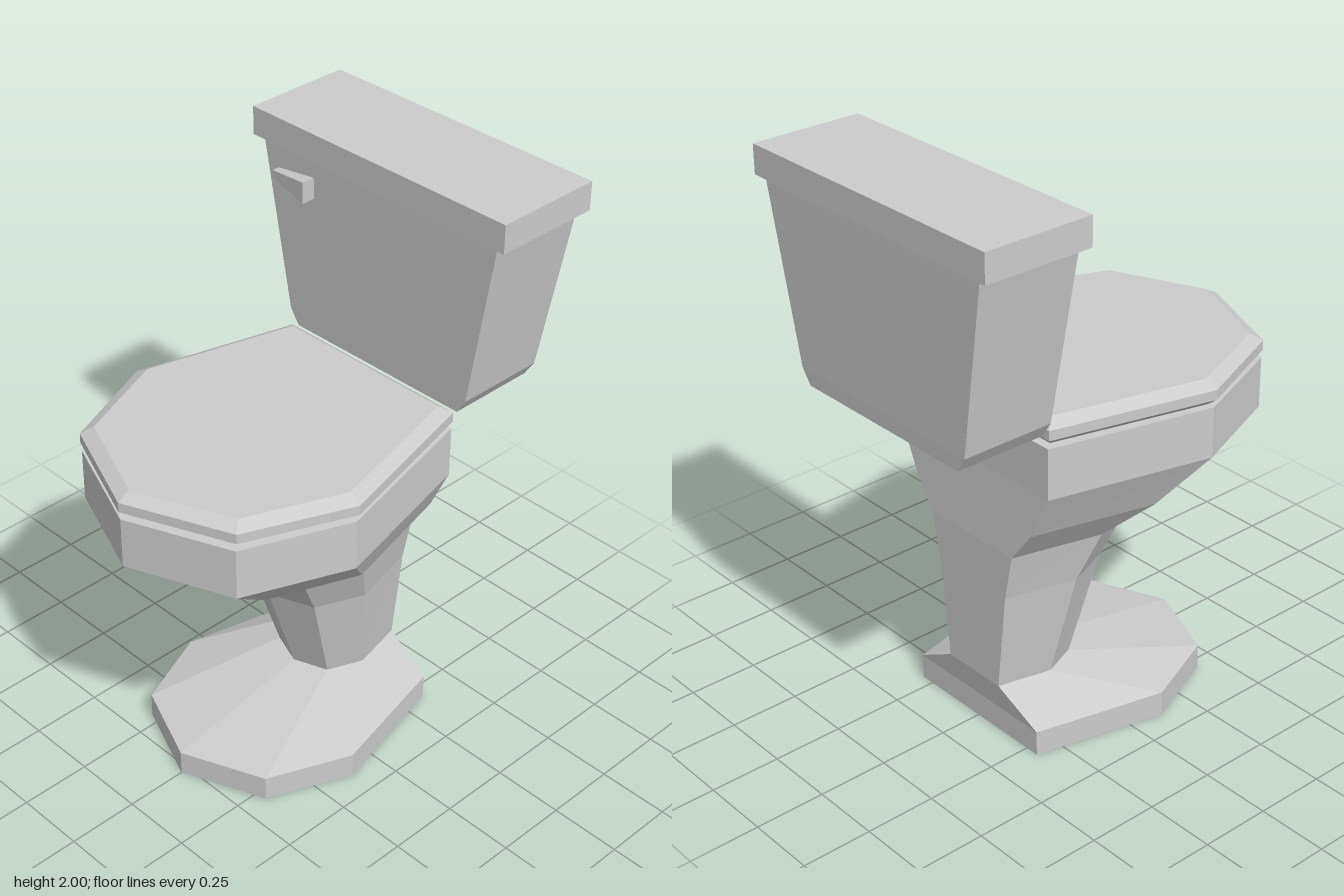
import * as THREE from 'three';

const material = new THREE.MeshStandardMaterial({ color: 0xcccccc, flatShading: true });

// Joins equal-length rings of [x, y, z] from bottom to top and caps both ends.
function loft(name, rings) {
  const n = rings[0].length;
  const index = [];
  for (let r = 0; r < rings.length - 1; r++) {
    for (let i = 0; i < n; i++) {
      const a = r * n + i, b = r * n + (i + 1) % n;
      index.push(a, b, b + n, a, b + n, a + n);
    }
  }
  const top = (rings.length - 1) * n;
  for (let i = 1; i < n - 1; i++) {
    index.push(0, i + 1, i);
    index.push(top, top + i, top + i + 1);
  }
  const indexed = new THREE.BufferGeometry();
  indexed.setAttribute('position', new THREE.Float32BufferAttribute(rings.flat(2), 3));
  indexed.setIndex(index);
  const geometry = indexed.toNonIndexed();
  geometry.computeVertexNormals();
  const mesh = new THREE.Mesh(geometry, material);
  mesh.name = name;
  return mesh;
}

// Seven-sided outline: front point, front corners, widest side corners, back corners.
function outline([y, front, cornerX, cornerZ, sideX, sideZ, backX, backZ]) {
  return [
    [0, y, front],
    [cornerX, y, cornerZ], [sideX, y, sideZ], [backX, y, backZ],
    [-backX, y, backZ], [-sideX, y, sideZ], [-cornerX, y, cornerZ],
  ];
}

// Four-sided ring of half width x between a front and a back z.
function rectangle([y, x, front, back]) {
  return [[x, y, front], [x, y, back], [-x, y, back], [-x, y, front]];
}

export function createModel() {
  const model = new THREE.Group();
  model.name = 'toilet';

  // Foot, pedestal and bowl in one continuous body
  model.add(loft('bowlAndPedestal', [
    [0, 0.53, 0.29, 0.41, 0.41, 0.12, 0.3, -0.345],
    [0.09, 0.53, 0.29, 0.41, 0.41, 0.12, 0.3, -0.345],
    [0.19, 0, 0.12, -0.045, 0.17, -0.17, 0.125, -0.36],
    [0.55, 0.12, 0.16, 0.06, 0.23, -0.11, 0.165, -0.36],
    [0.72, 0.23, 0.2, 0.15, 0.28, -0.045, 0.2, -0.36],
    [0.835, 0.49, 0.275, 0.39, 0.395, 0.08, 0.285, -0.355],
    [1.0, 0.73, 0.36, 0.585, 0.505, 0.22, 0.365, -0.35],
    [1.18, 0.73, 0.36, 0.585, 0.505, 0.22, 0.365, -0.35],
  ].map(outline)));

  // Bevelled lid
  model.add(loft('lid', [
    [1.185, 0.7, 0.34, 0.555, 0.483, 0.215, 0.345, -0.325],
    [1.21, 0.735, 0.365, 0.585, 0.515, 0.22, 0.37, -0.35],
    [1.245, 0.735, 0.365, 0.585, 0.515, 0.22, 0.37, -0.35],
    [1.27, 0.69, 0.335, 0.55, 0.47, 0.215, 0.335, -0.315],
  ].map(outline)));

  // Tapered tank with chamfered lower ends
  model.add(loft('tank', [
    [1.235, 0.365, -0.372, -0.7],
    [1.29, 0.4, -0.37, -0.703],
    [1.9, 0.507, -0.355, -0.722],
  ].map(rectangle)));

  // Tank cover
  const cover = new THREE.Mesh(new THREE.BoxGeometry(1.09, 0.1, 0.395), material);
  cover.name = 'tankCover';
  cover.position.set(0, 1.95, -0.5375);
  model.add(cover);

  // Flush handle, narrowing towards the outer end
  const handle = (y, thin) => [
    [-0.28, y, -0.307], [-0.28, y, -0.36], [-0.445, thin, -0.36], [-0.445, thin, -0.33],
  ];
  model.add(loft('flushHandle', [handle(1.758, 1.785), handle(1.835, 1.81)]));

  return model;
}
